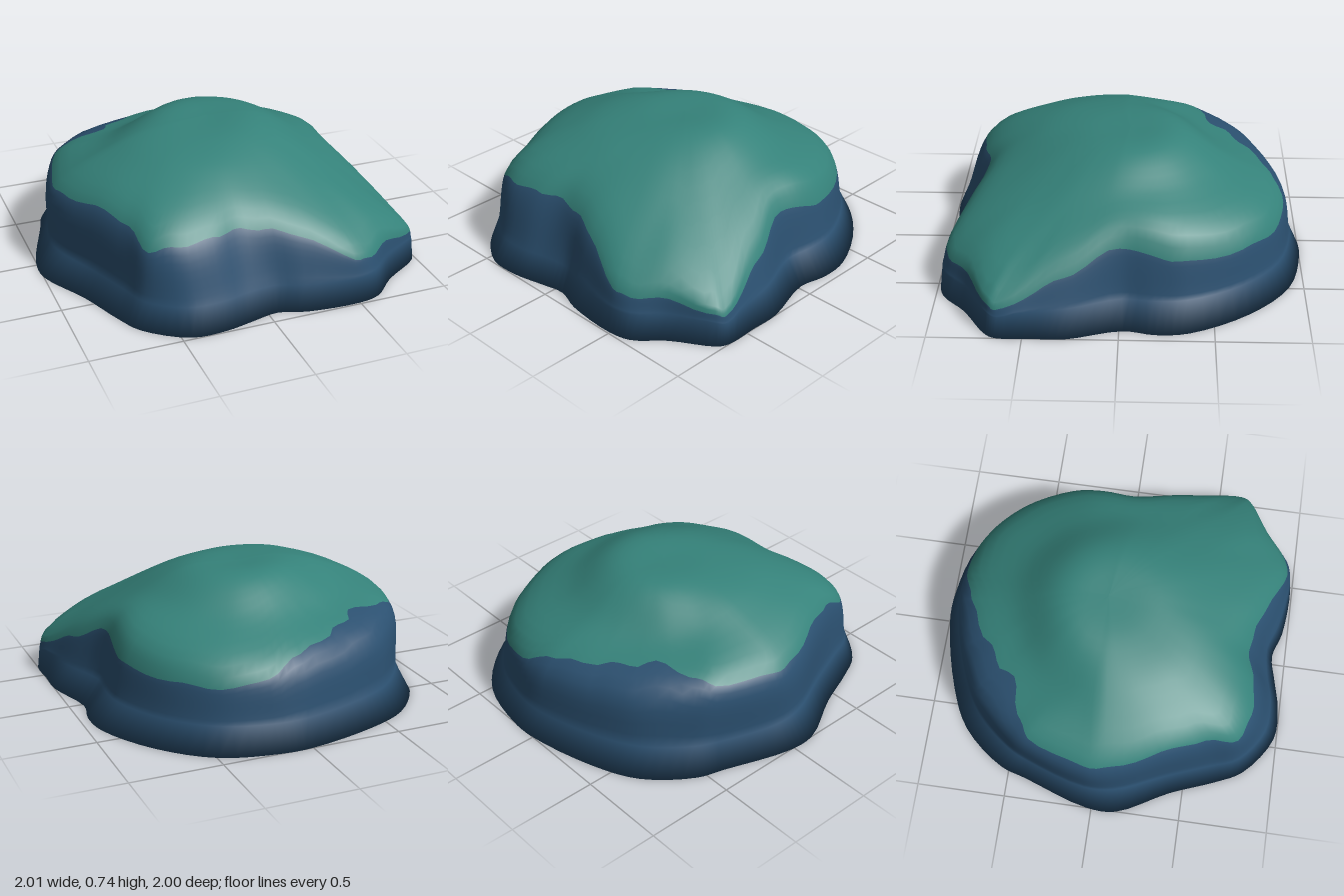
import * as THREE from 'three';

// Outline on the ground (x, z), clockwise from the back
const BASE = [
  [0, -1], [0.18, -1], [0.49, -0.92], [0.75, -0.69], [0.93, -0.37], [0.95, -0.19], [0.92, -0.02],
  [1, 0.28], [1, 0.45], [1, 0.63], [0.97, 0.69], [0.76, 0.83], [0.62, 0.96], [0.49, 0.99],
  [0.2, 0.97], [0.05, 0.925], [-0.1, 0.955], [-0.26, 0.99], [-0.45, 0.985], [-0.67, 0.83], [-0.75, 0.68],
  [-0.85, 0.43], [-1, 0.14], [-1, -0.03], [-0.88, -0.4], [-0.83, -0.55], [-0.64, -0.78], [-0.4, -0.9],
];

// Shoulder where the steep wall turns into the dome (x, y, z)
const SHOULDER = [
  [0, 0.41, -0.87], [0.2, 0.4, -0.87], [0.42, 0.41, -0.79], [0.61, 0.42, -0.62], [0.73, 0.46, -0.35],
  [0.74, 0.49, -0.18], [0.74, 0.48, 0], [0.82, 0.39, 0.22], [0.89, 0.3, 0.42], [0.96, 0.2, 0.62],
  [0.93, 0.22, 0.67], [0.72, 0.29, 0.78], [0.57, 0.28, 0.89], [0.47, 0.29, 0.92], [0.2, 0.41, 0.82],
  [0.03, 0.46, 0.76], [-0.1, 0.48, 0.74], [-0.27, 0.46, 0.8], [-0.45, 0.46, 0.8], [-0.58, 0.46, 0.74],
  [-0.64, 0.49, 0.58], [-0.75, 0.5, 0.35], [-0.86, 0.47, 0.1], [-0.88, 0.46, -0.06], [-0.78, 0.47, -0.38],
  [-0.72, 0.46, -0.48], [-0.55, 0.44, -0.66], [-0.35, 0.42, -0.77],
];

// Height of the moss edge in each column
const MOSS_EDGE = [
  0.45, 0.37, 0.33, 0.33, 0.35, 0.37, 0.42, 0.31, 0.24, 0.16, 0.17, 0.23, 0.22, 0.25,
  0.38, 0.43, 0.44, 0.45, 0.44, 0.41, 0.48, 0.49, 0.47, 0.46, 0.49, 0.51, 0.52, 0.49,
];

const COLS = BASE.length * 4;
const STONE_ROWS = 8;
const MOSS_ROWS = 16;

const closedCurve = (points) => new THREE.CatmullRomCurve3(points, true, 'centripetal');

// Section from the foot of the wall up to the top of the dome
function profile(base, shoulder, softShoulder) {
  const knee = base.clone().lerp(shoulder, 0.5 - 0.25 * Math.max(0, base.z) + 0.2 * Math.max(0, -base.x));
  knee.y = Math.min(0.14, shoulder.y * 0.6);
  const angle = Math.atan2(softShoulder.z, softShoulder.x);
  const dx = Math.cos(angle);
  const dz = Math.sin(angle);
  const crown = new THREE.Vector3(0.02 + 0.28 * dx, 0.728, -0.03 + 0.28 * dz);
  crown.y -= 0.06 * Math.max(0, crown.z);
  const mid = softShoulder.clone().lerp(crown, 0.5);
  // Fuller on the left and front, sunken at the back left
  const left = Math.max(0, -dx);
  mid.y += 0.025 + 0.02 * dz + 0.025 * left - 0.1 * left * Math.max(0, -dz);
  const apex = new THREE.Vector3(0.02, 0.735, -0.04);
  return new THREE.CatmullRomCurve3([knee, shoulder, mid, crown, apex], false, 'centripetal');
}

// First place on the section that reaches the given height
function findHeight(curve, y) {
  let v = 0.02;
  while (v < 0.8 && curve.getPoint(v).y < y) v += 0.004;
  return v;
}

export function createModel() {
  const stone = new THREE.MeshStandardMaterial({ color: 0x2b5070 });
  stone.name = 'blue stone';
  const moss = new THREE.MeshStandardMaterial({ color: 0x35827a });
  moss.name = 'green moss';

  const baseCurve = closedCurve(BASE.map(([x, z]) => new THREE.Vector3(x, 0, z)));
  const shoulderCurve = closedCurve(SHOULDER.map((p) => new THREE.Vector3(...p)));
  const edgeCurve = closedCurve(MOSS_EDGE.map((y, i) => new THREE.Vector3(i * 0.01, y, 0)));

  // Columns of points: row 0 on the ground, one row exactly on the moss edge
  const rows = STONE_ROWS + MOSS_ROWS;
  const positions = [];
  for (let c = 0; c < COLS; c++) {
    const u = c / COLS;
    const base = baseCurve.getPoint(u);
    const shoulder = shoulderCurve.getPoint(u);
    const softShoulder = shoulder.clone();
    for (const step of [-0.06, -0.03, 0.03, 0.06]) softShoulder.add(shoulderCurve.getPoint((u + 1 + step) % 1));
    softShoulder.divideScalar(5);
    const section = profile(base, shoulder, softShoulder);
    const wobble = 0.006 * Math.sin(c * 1.3) + 0.005 * Math.sin(c * 0.7);
    const split = findHeight(section, edgeCurve.getPoint(u).y + wobble);
    positions.push(...base.toArray());
    for (let r = 1; r <= rows; r++) {
      const v = r <= STONE_ROWS
        ? split * (r - 1) / (STONE_ROWS - 1)
        : split + (1 - split) * (r - STONE_ROWS) / MOSS_ROWS;
      positions.push(...section.getPoint(Math.min(v, 1)).toArray());
    }
  }
  const bottom = positions.length / 3;
  positions.push(0, 0, 0);

  const at = (r, c) => (c % COLS) * (rows + 1) + r;
  const band = (from, to) => {
    const index = [];
    for (let c = 0; c < COLS; c++) {
      for (let r = from; r < to; r++) {
        index.push(at(r, c), at(r + 1, c), at(r, c + 1));
        if (r + 1 < rows) index.push(at(r, c + 1), at(r + 1, c), at(r + 1, c + 1));
      }
    }
    return index;
  };

  // Stone wall with its flat underside, and the moss cover
  const stoneIndex = band(0, STONE_ROWS);
  for (let c = 0; c < COLS; c++) stoneIndex.push(bottom, at(0, c), at(0, c + 1));
  const mossIndex = band(STONE_ROWS, rows);

  // Normals come from the whole surface so the two parts join smoothly
  const whole = new THREE.BufferGeometry();
  whole.setAttribute('position', new THREE.Float32BufferAttribute(positions, 3));
  whole.setIndex([...stoneIndex, ...mossIndex]);
  whole.computeVertexNormals();

  const group = new THREE.Group();
  group.name = 'mossyRock';
  const addPart = (name, index, material) => {
    const geometry = new THREE.BufferGeometry();
    geometry.setAttribute('position', whole.getAttribute('position'));
    geometry.setAttribute('normal', whole.getAttribute('normal'));
    geometry.setIndex(index);
    const mesh = new THREE.Mesh(geometry, material);
    mesh.name = name;
    group.add(mesh);
  };
  addPart('stoneBody', stoneIndex, stone);
  addPart('mossCover', mossIndex, moss);
  return group;
}
